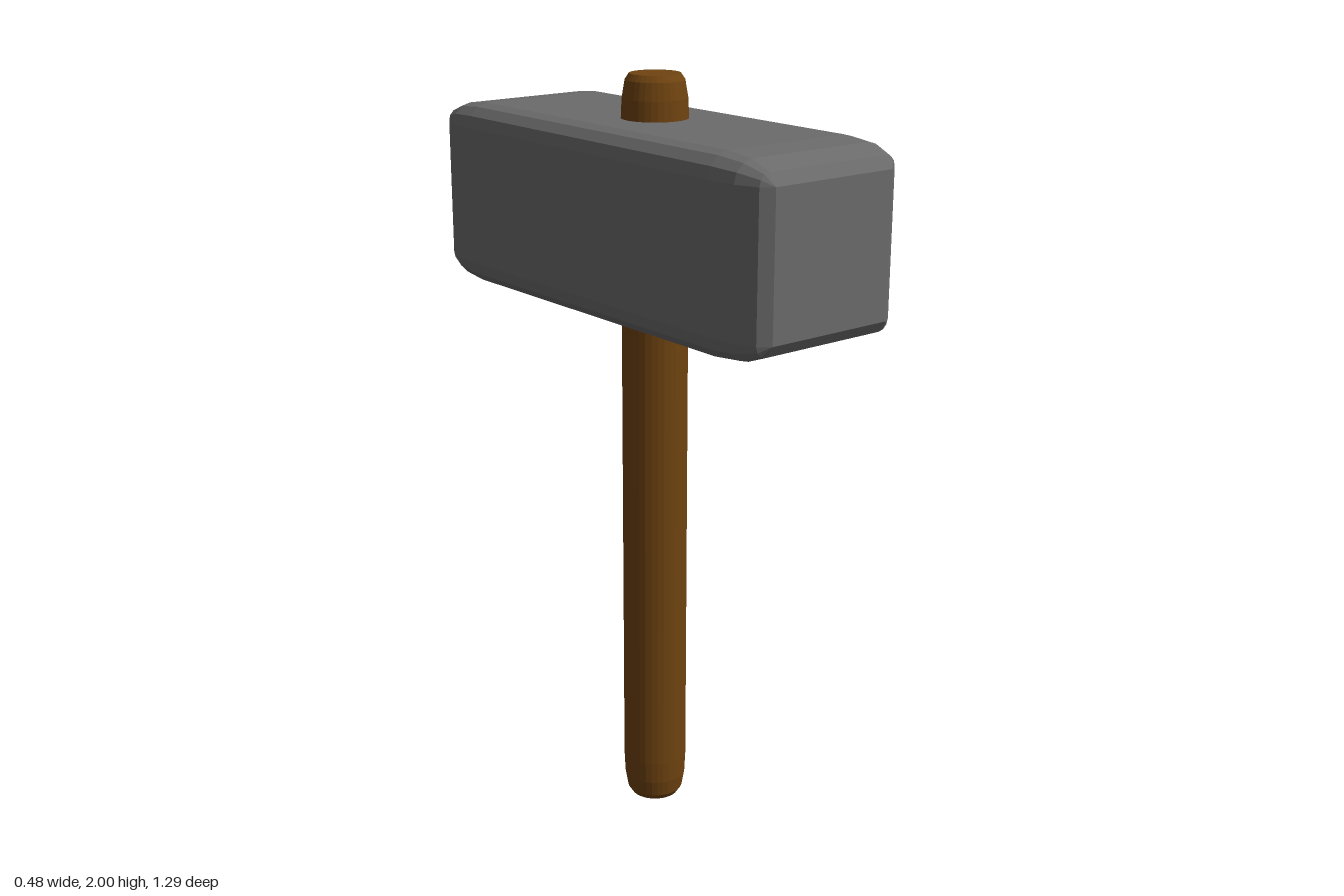
import * as THREE from 'three';
import { ConvexGeometry } from 'three/addons/geometries/ConvexGeometry.js';

const STEPS = 3; // bevel segments per quarter turn

// Box whose eight corners are stretched sphere octants; all arguments are half sizes
function bevelledBox(half, bevel) {
  const points = [];
  for (const sx of [-1, 1]) for (const sy of [-1, 1]) for (const sz of [-1, 1]) {
    for (let i = 0; i <= STEPS; i++) {
      const lat = (i / STEPS) * Math.PI / 2;
      const count = i === 0 ? 0 : STEPS;
      for (let j = 0; j <= count; j++) {
        const lon = (j / STEPS) * Math.PI / 2;
        points.push(new THREE.Vector3(
          sx * (half.x - bevel.x * (1 - Math.sin(lat) * Math.cos(lon))),
          sy * (half.y - bevel.y * (1 - Math.sin(lat) * Math.sin(lon))),
          sz * (half.z - bevel.z * (1 - Math.cos(lat)))
        ));
      }
    }
  }
  return new ConvexGeometry(points);
}

// Closed round bar from y = 0 to height with stretched rounded ends
function roundedBar(radius, height, inset, endLength) {
  const lower = [];
  for (let i = 0; i <= STEPS; i++) {
    const a = (i / STEPS) * Math.PI / 2;
    lower.push(new THREE.Vector2(radius - inset * (1 - Math.sin(a)), endLength * (1 - Math.cos(a))));
  }
  const upper = lower.map((p) => new THREE.Vector2(p.x, height - p.y)).reverse();
  const profile = [new THREE.Vector2(0, 0), ...lower, ...upper, new THREE.Vector2(0, height)];
  return new THREE.LatheGeometry(profile, 32);
}

export function createModel() {
  const model = new THREE.Group();
  model.name = 'hammer';

  const stone = new THREE.MeshStandardMaterial({ color: 0x6b6b6b, flatShading: true });
  const wood = new THREE.MeshStandardMaterial({ color: 0x6f4310, flatShading: true });

  // Long block head, with the bevel stretched along its length
  const head = new THREE.Mesh(
    bevelledBox(new THREE.Vector3(0.24, 0.24, 0.645), new THREE.Vector3(0.06, 0.06, 0.16)),
    stone
  );
  head.name = 'head';
  head.position.y = 1.65;
  model.add(head);

  // Wooden handle passing right through the head
  const handle = new THREE.Mesh(roundedBar(0.086, 2, 0.021, 0.12), wood);
  handle.name = 'handle';
  model.add(handle);

  return model;
}
